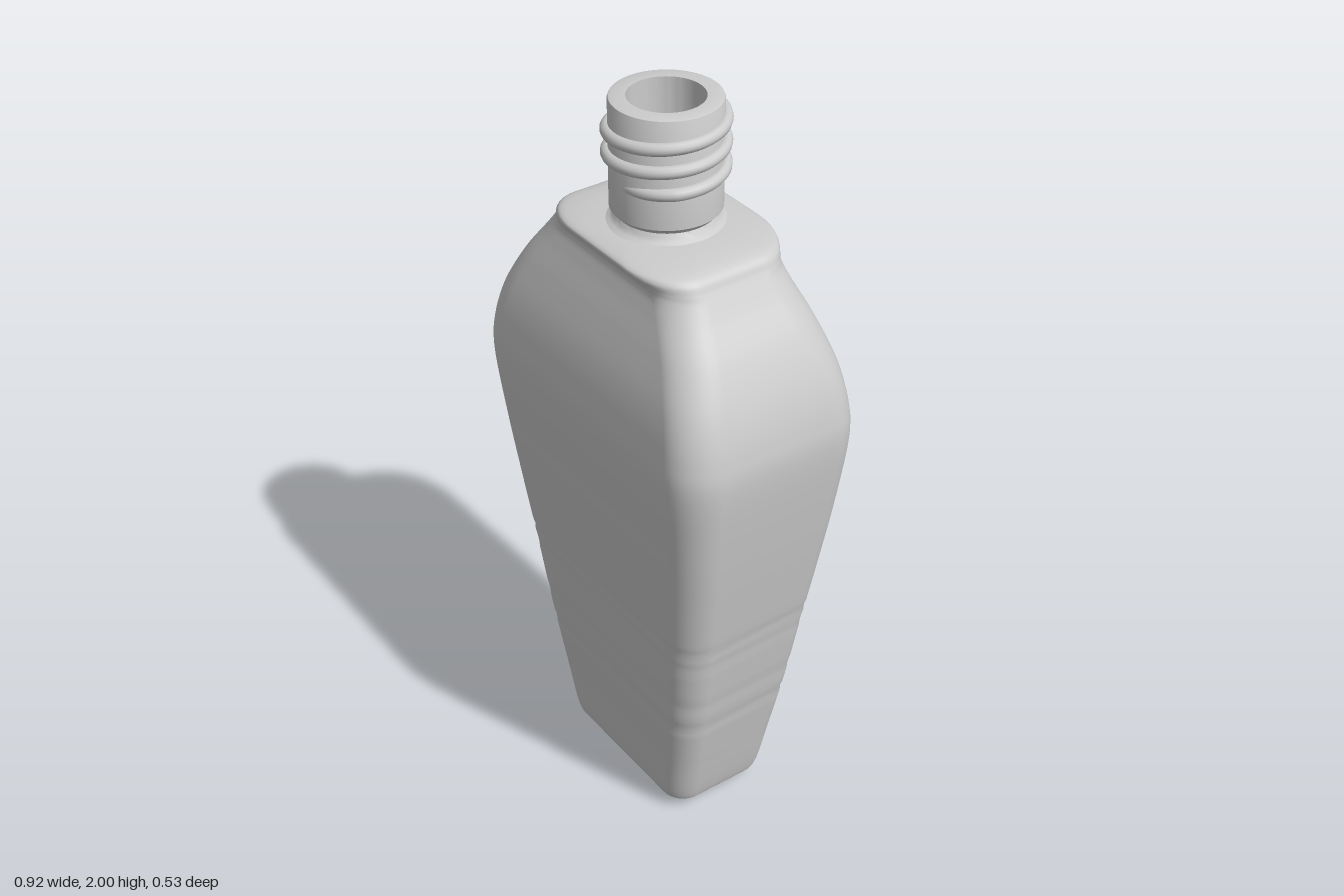
import * as THREE from 'three';
import { toCreasedNormals } from 'three/addons/utils/BufferGeometryUtils.js';

const material = new THREE.MeshStandardMaterial({ color: 0xcccccc });

// Cross-sections: height, half width, half depth, corner radius in x, in z
const SECTIONS = [
  [0, 0.002, 0.002, 0.001, 0.001],
  [0.007, 0.1, 0.06, 0.03, 0.03],
  [0.02, 0.2, 0.115, 0.05, 0.05],
  [0.033, 0.245, 0.138, 0.06, 0.06],
  [0.06, 0.263, 0.151, 0.065, 0.065],
  [0.2, 0.294, 0.165, 0.07, 0.07],
  [0.4, 0.334, 0.185, 0.075, 0.075],
  [0.6, 0.368, 0.203, 0.08, 0.08],
  [0.8, 0.402, 0.223, 0.085, 0.085],
  [1.0, 0.433, 0.243, 0.09, 0.09],
  [1.2, 0.457, 0.262, 0.1, 0.1],
  [1.3, 0.451, 0.258, 0.1, 0.1],
  [1.4, 0.423, 0.241, 0.1, 0.1],
  [1.5, 0.373, 0.212, 0.1, 0.1],
  [1.58, 0.315, 0.185, 0.1, 0.09],
  [1.62, 0.288, 0.174, 0.1, 0.09],
  [1.64, 0.275, 0.18, 0.12, 0.09],
  [1.662, 0.262, 0.198, 0.15, 0.11],
  [1.675, 0.238, 0.194, 0.15, 0.11],
  [1.684, 0.19, 0.165, 0.14, 0.12],
  [1.69, 0.12, 0.12, 0.12, 0.12],
];

// Outline of a rectangle with elliptical corners
function ring(y, hx, hz, rx, rz, steps) {
  const points = [];
  [[1, 1], [-1, 1], [-1, -1], [1, -1]].forEach(([sx, sz], quarter) => {
    for (let k = 0; k <= steps; k++) {
      const a = (quarter + k / steps) * Math.PI / 2;
      points.push(sx * (hx - rx) + rx * Math.cos(a), y, sz * (hz - rz) + rz * Math.sin(a));
    }
  });
  return points;
}

// Smooth loft through the sections, with faint bands round the lower body
function bodyGeometry() {
  const spline = (pick) => new THREE.CatmullRomCurve3(
    SECTIONS.map((s) => new THREE.Vector3(...pick(s))), false, 'catmullrom', 0.5);
  const size = spline((s) => [s[1], s[0], s[2]]);
  const corner = spline((s) => [s[3], 0, s[4]]);
  const band = (y) => [0.36, 0.45, 0.61, 0.66].reduce(
    (sum, c) => sum - 0.0025 * Math.exp(-(((y - c) / 0.012) ** 2)), 0);

  const rows = (SECTIONS.length - 1) * 10, steps = 10, n = 4 * (steps + 1);
  const positions = [], index = [];
  for (let i = 0; i <= rows; i++) {
    const p = size.getPoint(i / rows), r = corner.getPoint(i / rows), b = band(p.y);
    positions.push(...ring(p.y, p.x + b, p.z + b, r.x, r.z, steps));
    if (i === rows) break;
    for (let j = 0; j < n; j++) {
      const a = i * n + j, c = i * n + (j + 1) % n;
      index.push(a, a + n, c, c, a + n, c + n);
    }
  }
  const geometry = new THREE.BufferGeometry();
  geometry.setAttribute('position', new THREE.Float32BufferAttribute(positions, 3));
  geometry.setIndex(index);
  geometry.computeVertexNormals();
  return geometry;
}

// Neck with an undercut base, rounded lip and a round-bottomed bore
function neckGeometry() {
  const profile = [
    [0.155, 1.682], [0.135, 1.692], [0.124, 1.7], [0.121, 1.709], [0.127, 1.718],
    [0.135, 1.724], [0.135, 1.993], [0.133, 1.998], [0.128, 2], [0.093, 2], [0.093, 1.7],
  ];
  for (let k = 1; k <= 10; k++) {
    const a = k / 10 * Math.PI / 2;
    profile.push([0.093 * Math.cos(a), 1.7 - 0.08 * Math.sin(a)]);
  }
  const points = profile.map(([r, y]) => new THREE.Vector2(Math.max(r, 0), y));
  return toCreasedNormals(new THREE.LatheGeometry(points, 64), 0.7);
}

// Screw thread: a helix whose ends sink into the neck
class Thread extends THREE.Curve {
  getPoint(t, target = new THREE.Vector3()) {
    const a = t * 2.85 * Math.PI * 2;
    const fade = Math.min(1, t / 0.06, (1 - t) / 0.06);
    const r = 0.117 + 0.02 * fade;
    return target.set(r * Math.sin(a), 1.808 + 0.165 * t, r * Math.cos(a));
  }
}

export function createModel() {
  const group = new THREE.Group();
  group.name = 'bottle';
  const add = (name, geometry) => {
    const mesh = new THREE.Mesh(geometry, material);
    mesh.name = name;
    group.add(mesh);
  };
  add('body', bodyGeometry());
  add('neck', neckGeometry());
  add('screwThread', new THREE.TubeGeometry(new Thread(), 200, 0.016, 12));
  return group;
}
